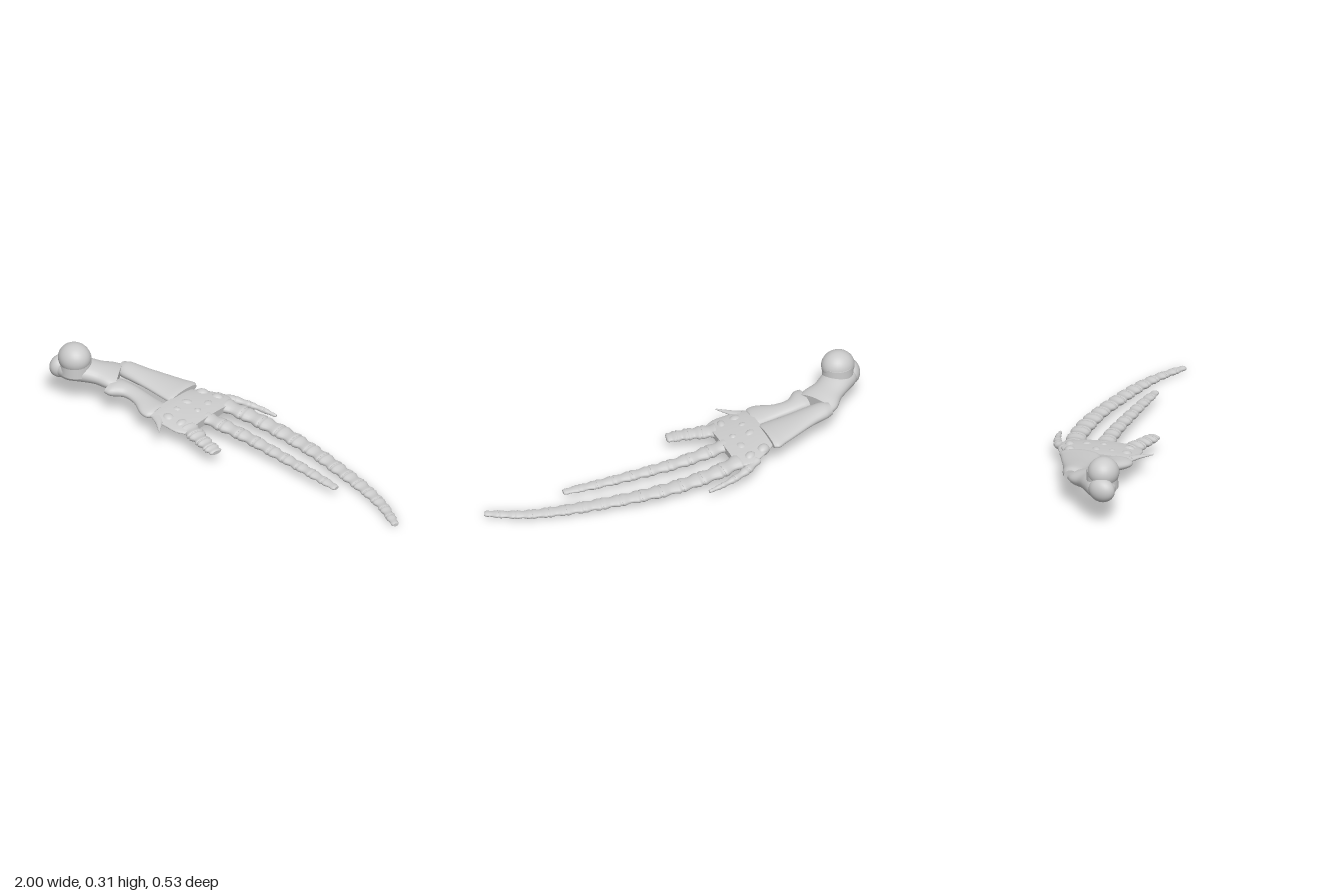
import * as THREE from 'three';

const bone = new THREE.MeshStandardMaterial({ color: 0xcbcbcb });
bone.name = 'bone';
const UP = new THREE.Vector3(0, 1, 0);

// Smooth bone through cross-sections [x, y, z, halfWidth, halfThickness].
// across (optional) fixes the horizontal width direction.
function loft(name, sections, { sides = 18, steps = 5, across = null } = {}) {
  const path = new THREE.CatmullRomCurve3(sections.map(s => new THREE.Vector3(s[0], s[1], s[2])), false, 'centripetal');
  const size = new THREE.CatmullRomCurve3(sections.map((s, i) => new THREE.Vector3(s[3], s[4], i * 0.1)), false, 'catmullrom', 0.5);
  const n = (sections.length - 1) * steps;
  const pos = [], index = [];
  for (let i = 0; i <= n; i++) {
    const c = path.getPoint(i / n), t = path.getTangent(i / n), r = size.getPoint(i / n);
    const s = across ? across.clone() : new THREE.Vector3().crossVectors(UP, t).normalize();
    const u = new THREE.Vector3().crossVectors(t, s).normalize();
    for (let j = 0; j < sides; j++) {
      const a = j / sides * Math.PI * 2;
      const p = c.clone().addScaledVector(s, Math.cos(a) * r.x).addScaledVector(u, Math.sin(a) * r.y);
      pos.push(p.x, p.y, p.z);
    }
  }
  for (let i = 0; i < n; i++) for (let j = 0; j < sides; j++) {
    const k = (j + 1) % sides;
    const a = i * sides + j, b = i * sides + k, c = a + sides, d = b + sides;
    index.push(a, b, d, a, d, c);
  }
  // separate end caps keep the rims crisp
  for (const end of [0, n]) {
    const base = pos.length / 3;
    const c = path.getPoint(end / n);
    for (let j = 0; j < sides * 3; j++) pos.push(pos[end * sides * 3 + j]);
    pos.push(c.x, c.y, c.z);
    for (let j = 0; j < sides; j++) {
      const a = base + j, b = base + (j + 1) % sides, m = base + sides;
      if (end) index.push(a, b, m); else index.push(b, a, m);
    }
  }
  const g = new THREE.BufferGeometry();
  g.setAttribute('position', new THREE.Float32BufferAttribute(pos, 3));
  g.setIndex(index);
  g.computeVertexNormals();
  const mesh = new THREE.Mesh(g, bone);
  mesh.name = name;
  return mesh;
}

function blob(name, x, y, z, rx, ry, rz, turn = 0) {
  const mesh = new THREE.Mesh(new THREE.SphereGeometry(1, 28, 18), bone);
  mesh.name = name;
  mesh.position.set(x, y, z);
  mesh.scale.set(rx, ry, rz);
  mesh.rotation.y = turn;
  return mesh;
}

// Row of waisted phalanges with thin joint pads, along sections like those of loft
function finger(name, sections, count, shrink) {
  const group = new THREE.Group();
  group.name = name;
  const path = new THREE.CatmullRomCurve3(sections.map(s => new THREE.Vector3(s[0], s[1], s[2])), false, 'centripetal');
  const size = new THREE.CatmullRomCurve3(sections.map((s, i) => new THREE.Vector3(s[3], s[4], 0)), false, 'catmullrom', 0.5);
  const at = (t, f) => {
    const u = path.getUtoTmapping(t), p = path.getPoint(u), r = size.getPoint(u);
    return [p.x, p.y, p.z, r.x * f, r.y * f];
  };
  const stops = [0];
  for (let i = 0; i < count; i++) stops.push(stops[i] + shrink ** i);
  const total = stops[count];
  for (let i = 0; i < count; i++) {
    const t0 = stops[i] / total, t1 = stops[i + 1] / total;
    const last = i === count - 1;
    const shape = [[0.05, 0.94], [0.16, 1], [0.5, 0.78], [0.84, last ? 0.85 : 1], [last ? 1 : 0.95, last ? 0.6 : 0.94]];
    group.add(loft('phalanx', shape.map(([k, f]) => at(t0 + (t1 - t0) * k, f)), { sides: 16, steps: 3 }));
    if (i > 0) {
      const e = 0.06 * (t1 - t0);
      group.add(loft('jointPad', [at(t0 - e, 0.9), at(t0, 0.87), at(t0 + e, 0.9)], { sides: 16, steps: 1 }));
    }
  }
  return group;
}

export function createModel() {
  const model = new THREE.Group();
  model.name = 'flipperSkeleton';

  // Upper arm bone with its ball head and side knob
  const humerus = new THREE.Group();
  humerus.name = 'humerus';
  humerus.add(
    loft('humerusShaft', [
      [-0.965, 0.17, 0.2, 0.045, 0.035], [-0.92, 0.175, 0.18, 0.07, 0.055], [-0.86, 0.172, 0.145, 0.077, 0.053],
      [-0.8, 0.16, 0.107, 0.078, 0.046], [-0.75, 0.15, 0.077, 0.098, 0.043], [-0.715, 0.145, 0.057, 0.1, 0.036]
    ], { sides: 28 }),
    blob('humerusHead', -0.885, 0.242, 0.178, 0.08, 0.072, 0.075),
    blob('humerusKnob', -0.952, 0.178, 0.188, 0.047, 0.058, 0.066, -0.25)
  );
  const neck = new THREE.Mesh(new THREE.CylinderGeometry(0.073, 0.076, 0.085, 32, 1), bone);
  neck.name = 'humerusNeck';
  neck.position.set(-0.882, 0.208, 0.172);
  humerus.add(neck);
  model.add(humerus);

  // Two forearm bones
  const sideways = new THREE.Vector3(0, 0, -1).negate();
  model.add(loft('radius', [
    [-0.755, 0.15, -0.012, 0.036, 0.028], [-0.72, 0.15, -0.012, 0.052, 0.034], [-0.65, 0.145, -0.02, 0.06, 0.031],
    [-0.56, 0.136, -0.036, 0.075, 0.027], [-0.47, 0.126, -0.05, 0.092, 0.027], [-0.43, 0.122, -0.057, 0.1, 0.027],
    [-0.41, 0.12, -0.055, 0.092, 0.024]
  ], { sides: 24, across: sideways }));
  model.add(loft('ulna', [
    [-0.69, 0.138, 0.128, 0.066, 0.027], [-0.66, 0.136, 0.125, 0.065, 0.031], [-0.61, 0.13, 0.104, 0.046, 0.028],
    [-0.54, 0.122, 0.108, 0.048, 0.025], [-0.47, 0.113, 0.128, 0.067, 0.025], [-0.43, 0.109, 0.13, 0.07, 0.025],
    [-0.41, 0.108, 0.125, 0.06, 0.022]
  ], { sides: 24, across: sideways }));

  // Wrist plate with the small wrist bones set in it
  model.add(loft('wristPlate', [
    [-0.42, 0.112, 0.035, 0.15, 0.02], [-0.38, 0.108, 0.027, 0.172, 0.024], [-0.31, 0.102, 0.008, 0.192, 0.025],
    [-0.25, 0.096, 0, 0.2, 0.024], [-0.205, 0.092, 0.005, 0.175, 0.02]
  ], { sides: 36, across: sideways }));
  [[-0.36, -0.125, 0.035, 0.028, 0.5], [-0.275, -0.065, 0.03, 0.036, 0.2], [-0.35, 0, 0.04, 0.028, 0.5],
    [-0.27, 0.015, 0.026, 0.026, 0], [-0.345, 0.075, 0.032, 0.024, 0.4], [-0.34, 0.143, 0.034, 0.03, 0],
    [-0.265, 0.135, 0.025, 0.036, -0.2], [-0.285, -0.145, 0.034, 0.026, 0.5]
  ].forEach(([x, z, rx, rz, turn]) =>
    model.add(blob('wristBone', x, 0.075 - x * 0.09, z, rx, 0.03 - Math.abs(z) * 0.04, rz, turn)));
  model.add(loft('wristSpur', [
    [-0.38, 0.11, 0.17, 0.03, 0.012], [-0.345, 0.109, 0.205, 0.016, 0.009], [-0.295, 0.107, 0.262, 0.003, 0.003]
  ]));

  // Four fingers
  model.add(finger('firstFinger', [
    [-0.31, 0.093, -0.165, 0.028, 0.02], [-0.23, 0.082, -0.215, 0.024, 0.018],
    [-0.12, 0.068, -0.248, 0.016, 0.014], [-0.02, 0.056, -0.262, 0.01, 0.01]
  ], 4, 0.9));
  model.add(finger('secondFinger', [
    [-0.235, 0.09, -0.14, 0.05, 0.027], [-0.1, 0.074, -0.16, 0.047, 0.027], [0.11, 0.058, -0.165, 0.047, 0.024],
    [0.3, 0.048, -0.147, 0.042, 0.022], [0.48, 0.038, -0.115, 0.041, 0.021], [0.67, 0.029, -0.073, 0.037, 0.019],
    [0.83, 0.022, -0.02, 0.03, 0.016], [0.99, 0.018, 0.068, 0.022, 0.013]
  ], 14, 0.965));
  model.add(finger('thirdFinger', [
    [-0.235, 0.092, 0.003, 0.047, 0.026], [-0.1, 0.08, -0.007, 0.042, 0.025], [0.03, 0.071, -0.01, 0.038, 0.023],
    [0.25, 0.06, 0.002, 0.034, 0.02], [0.42, 0.053, 0.015, 0.03, 0.017], [0.598, 0.046, 0.034, 0.024, 0.012]
  ], 9, 0.96));
  model.add(finger('fourthFinger', [
    [-0.235, 0.092, 0.125, 0.052, 0.025], [-0.15, 0.086, 0.152, 0.045, 0.023],
    [-0.08, 0.081, 0.172, 0.04, 0.02], [-0.005, 0.075, 0.19, 0.04, 0.016]
  ], 4, 0.85));
  return model;
}
